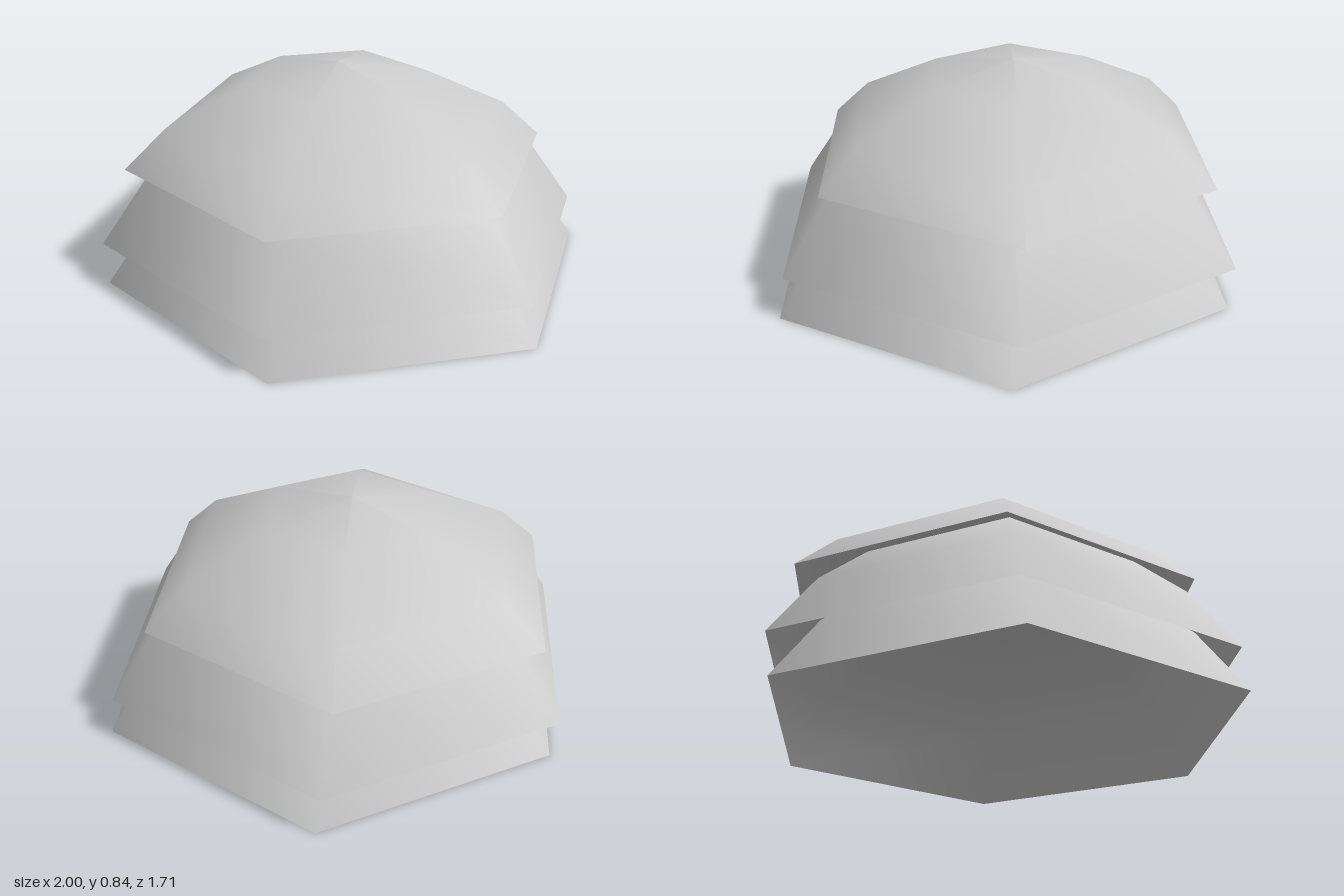
import * as THREE from 'three';

// Three open, six-sided domes stacked inside one another, with smooth normals
export function createModel() {
  const model = new THREE.Group();
  const paleGrey = new THREE.MeshStandardMaterial({ color: 0xcccccc, side: THREE.DoubleSide });
  paleGrey.name = 'paleGrey';

  // Profiles run from rim to apex as [radius, height above rim]
  const deepProfile = [[0.987, 0], [0.8, 0.265], [0.6, 0.44], [0.33, 0.575], [0, 0.63]];
  const shallowProfile = [[0.86, 0], [0.695, 0.155], [0.355, 0.32], [0, 0.38]];

  function addDome(name, profile, x, y) {
    const points = profile.map(([r, h]) => new THREE.Vector2(r, h));
    const geometry = new THREE.LatheGeometry(points, 6, Math.PI / 2);
    const dome = new THREE.Mesh(geometry, paleGrey);
    dome.name = name;
    dome.position.set(x, y, 0);
    model.add(dome);
  }

  addDome('lowerDome', deepProfile, 0.012, 0);
  addDome('middleDome', deepProfile, -0.012, 0.165);
  addDome('upperDome', shallowProfile, -0.05, 0.46);

  return model;
}
